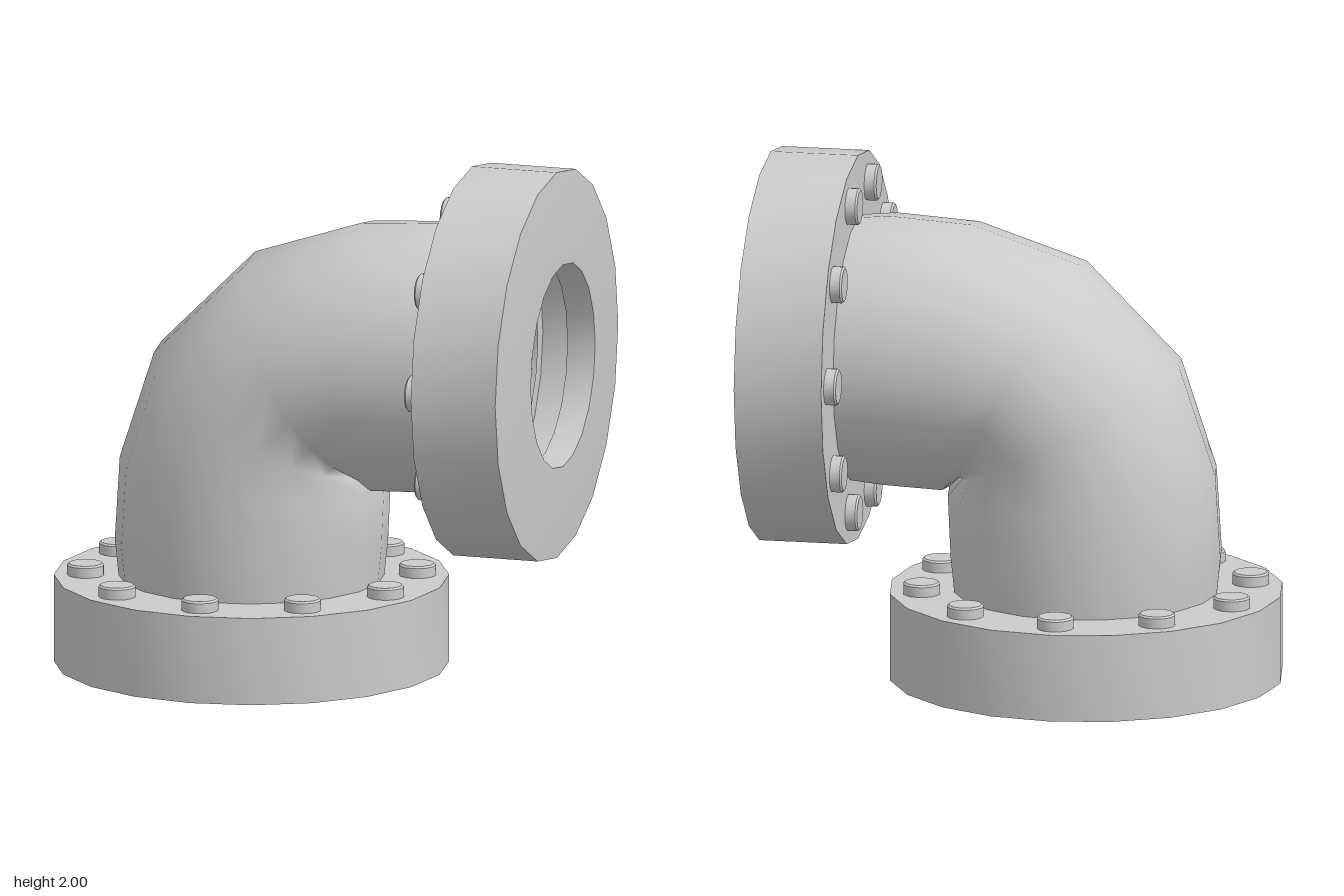
import * as THREE from 'three';
import { toCreasedNormals } from 'three/addons/utils/BufferGeometryUtils.js';

const SIDES = 20;
const AXIS_X = -0.245; // axis of the lower opening
const AXIS_Y = 1.255;  // axis of the side opening
const material = new THREE.MeshStandardMaterial({ color: 0xcccccc });

function mesh(name, geometry) {
  const m = new THREE.Mesh(geometry, material);
  m.name = name;
  return m;
}

// Outer and inner bend points [ox, oy, ix, iy] of each ring, lower half of the elbow
const lowerRings = [
  [-0.735, 0.25, 0.245, 0.25],
  [-0.76, 0.5, 0.27, 0.5],
  [-0.74, 0.82, 0.28, 0.73],
  [-0.6, 1.24, 0.22, 0.79],
];
// The upper half mirrors the lower one across the diagonal
const upperRings = lowerRings
  .map(([ox, oy, ix, iy]) => [1.01 - oy, 1.01 - ox, 1.01 - iy, 1.01 - ix])
  .reverse();
const rings = [...lowerRings, ...upperRings];

// Lofts a wall through the rings; scale shrinks it, inward turns its faces
function elbowWall(scale, inward) {
  const positions = [];
  const index = [];
  rings.forEach(([ox, oy, ix, iy], i) => {
    const end = i === 0 || i === rings.length - 1;
    const halfZ = (end ? 0.49 : 0.515) * scale;
    for (let j = 0; j < SIDES; j++) {
      const a = (j / SIDES) * Math.PI * 2;
      const k = Math.cos(a) * scale * 0.5;
      positions.push((ox + ix) / 2 + (ox - ix) * k, (oy + iy) / 2 + (oy - iy) * k, Math.sin(a) * halfZ);
      if (i === rings.length - 1) continue;
      const n = (j + 1) % SIDES;
      const p = i * SIDES + j, q = i * SIDES + n, r = p + SIDES, s = q + SIDES;
      if (inward) index.push(p, r, q, q, r, s);
      else index.push(p, q, r, q, s, r);
    }
  });
  const g = new THREE.BufferGeometry();
  g.setAttribute('position', new THREE.Float32BufferAttribute(positions, 3));
  g.setIndex(index);
  g.computeVertexNormals();
  return g;
}

// Flange with its mating face at y = 0 and bolts on the far side
function flange(name) {
  const group = new THREE.Group();
  group.name = name;
  const profile = [
    [0.4, 0.25], [0.52, 0.25], [0.52, 0.11], [0.39, 0.11], // gasket groove and lip
    [0.39, 0], [0.43, 0], [0.745, 0.025], [0.745, 0.36],   // face and rim
    [0.4, 0.36], [0.4, 0.25],
  ].map(([x, y]) => new THREE.Vector2(x, y));
  group.add(mesh('flangeRing', toCreasedNormals(new THREE.LatheGeometry(profile, SIDES), 0.6)));

  // Bolt heads with a small bevel
  const boltProfile = [[0.07, 0], [0.07, 0.038], [0.063, 0.045], [0, 0.045]]
    .map(([x, y]) => new THREE.Vector2(x, y));
  const boltGeometry = toCreasedNormals(new THREE.LatheGeometry(boltProfile, 16), 0.6);
  for (let i = 0; i < 10; i++) {
    const a = (i / 10) * Math.PI * 2;
    const bolt = mesh('bolt', boltGeometry);
    bolt.position.set(Math.sin(a) * 0.625, 0.36, Math.cos(a) * 0.625);
    group.add(bolt);
  }
  return group;
}

export function createModel() {
  const model = new THREE.Group();
  model.name = 'pipeElbow';

  model.add(mesh('elbowOuterWall', elbowWall(1, false)));
  model.add(mesh('elbowBore', elbowWall(0.82, true)));

  const lower = flange('lowerFlange');
  lower.position.set(AXIS_X, 0, 0);
  model.add(lower);

  const side = flange('sideFlange');
  side.rotation.z = Math.PI / 2;
  side.position.set(0.99, AXIS_Y, 0);
  model.add(side);

  return model;
}
